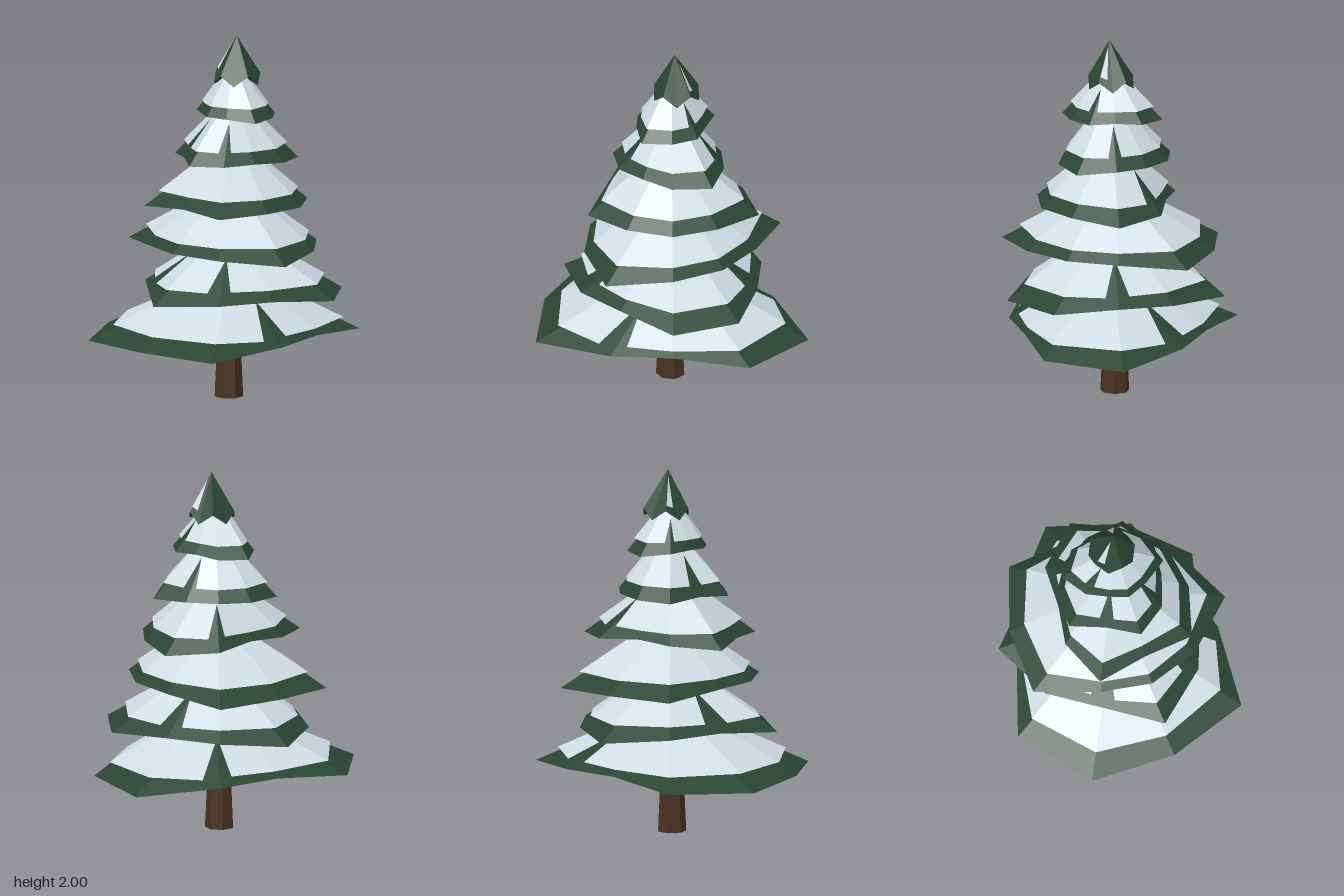
import * as THREE from 'three';

function makeMaterial(name, color, side = THREE.FrontSide) {
  const material = new THREE.MeshStandardMaterial({ color, side, flatShading: true });
  material.name = name;
  return material;
}
const green = makeMaterial('needleGreen', 0x2a4633);
const white = makeMaterial('snowWhite', 0xd0dbe4, THREE.DoubleSide);
const brown = makeMaterial('barkBrown', 0x483220);

const V = (x, y, z) => new THREE.Vector3(x, y, z);
const SIDES = 10;

function facetMesh(name, points, material) {
  const geo = new THREE.BufferGeometry().setFromPoints(points);
  geo.computeVertexNormals();
  const mesh = new THREE.Mesh(geo, material);
  mesh.name = name;
  return mesh;
}

// Triangles from a tip to every side of a rim, facing up or down
function fan(tip, rim, up) {
  return rim.flatMap((p, i) => {
    const q = rim[(i + 1) % rim.length];
    return up ? [tip, q, p] : [tip, p, q];
  });
}

// Ten-sided rim with its own radius and height at each corner
function makeRim(cx, radiusAt, heightAt) {
  return Array.from({ length: SIDES }, (_, k) => {
    const angle = (k - 0.5) * Math.PI * 2 / SIDES;
    return V(cx + radiusAt(k) * Math.cos(angle), heightAt(k), radiusAt(k) * Math.sin(angle));
  });
}

// Green cone closed by a slightly hollow underside
function makeBranches(apex, corners, hollowY) {
  return facetMesh('branches', [
    ...fan(apex, corners, true),
    ...fan(V(apex.x, hollowY, 0), corners, false),
  ], green);
}

// Raised snow cap, rounder than the branches, with wedge-shaped gaps at some corners
function makeSnow(apex, corners, sizeAt, gaps) {
  const onCone = (p, f) => apex.clone().lerp(p, f).add(V(0, 0.022, 0));
  const rim = corners.flatMap((p, k) => {
    if (!gaps.includes(k)) return [onCone(p, sizeAt(k))];
    const before = corners[(k + SIDES - 1) % SIDES], after = corners[(k + 1) % SIDES];
    return [
      onCone(p.clone().lerp(before, 0.22), sizeAt(k)),
      onCone(p, 0.46),
      onCone(p.clone().lerp(after, 0.22), sizeAt(k)),
    ];
  });
  return facetMesh('snow', fan(onCone(apex, 0), rim, true), white);
}

// One layer: longer branches droop lower
function makeLayer({ radii, gaps, height = 0.37 }, i) {
  const group = new THREE.Group();
  group.name = 'branchLayer' + (i + 1);
  const y = 0.335 + 0.245 * i;
  const shortBy = k => Math.max(...radii) - radii[k];
  const corners = makeRim(0, k => radii[k], k => y + 0.18 * shortBy(k));
  const apex = V(0.01, y + height, 0.01);
  group.add(
    makeBranches(apex, corners, y + 0.04),
    makeSnow(apex, corners, k => 0.83 + 0.5 * shortBy(k), gaps),
  );
  return group;
}

// Branch lengths, starting just behind the left side and turning to the front
const layers = [
  { radii: [0.78, 0.71, 0.52, 0.58, 0.78, 0.72, 0.79, 0.74, 0.53, 0.59], gaps: [3, 9] },
  { radii: [0.49, 0.61, 0.62, 0.48, 0.52, 0.61, 0.46, 0.52, 0.63, 0.52], gaps: [0, 4, 6] },
  { radii: [0.48, 0.47, 0.5, 0.62, 0.5, 0.46, 0.46, 0.62, 0.57, 0.63], gaps: [] },
  { radii: [0.5, 0.42, 0.42, 0.42, 0.48, 0.38, 0.48, 0.37, 0.3, 0.41], gaps: [9] },
  { radii: [0.3, 0.37, 0.32, 0.27, 0.3, 0.33, 0.26, 0.34, 0.31, 0.29], gaps: [0, 4, 6] },
  { radii: [0.2, 0.24, 0.25, 0.28, 0.2, 0.19, 0.17, 0.21, 0.28, 0.25], gaps: [1, 7], height: 0.29 },
];

// Jagged tree top with a sliver of snow on two of its faces
function makeCrown() {
  const crown = new THREE.Group();
  crown.name = 'treeTop';
  const apex = V(0.03, 2, 0.01);
  const corners = makeRim(0.035, () => 0.128, k => (k % 2 ? 1.79 : 1.735));
  crown.add(makeBranches(apex, corners, 1.79));
  for (const k of [0, 6]) {
    const onFace = (t, f) =>
      apex.clone().lerp(corners[k].clone().lerp(corners[k + 1], t), f).add(V(0, 0.01, 0));
    crown.add(facetMesh('topSnow', [onFace(0.7, 0.2), onFace(0.95, 0.9), onFace(0.4, 0.85)], white));
  }
  return crown;
}

export function createModel() {
  const tree = new THREE.Group();
  tree.name = 'snowyPine';

  // Tapered trunk
  const trunk = new THREE.Mesh(new THREE.CylinderGeometry(0.06, 0.08, 0.44, 7), brown);
  trunk.name = 'trunk';
  trunk.position.set(-0.01, 0.22, -0.01);
  tree.add(trunk);

  tree.add(...layers.map(makeLayer), makeCrown());
  return tree;
}
